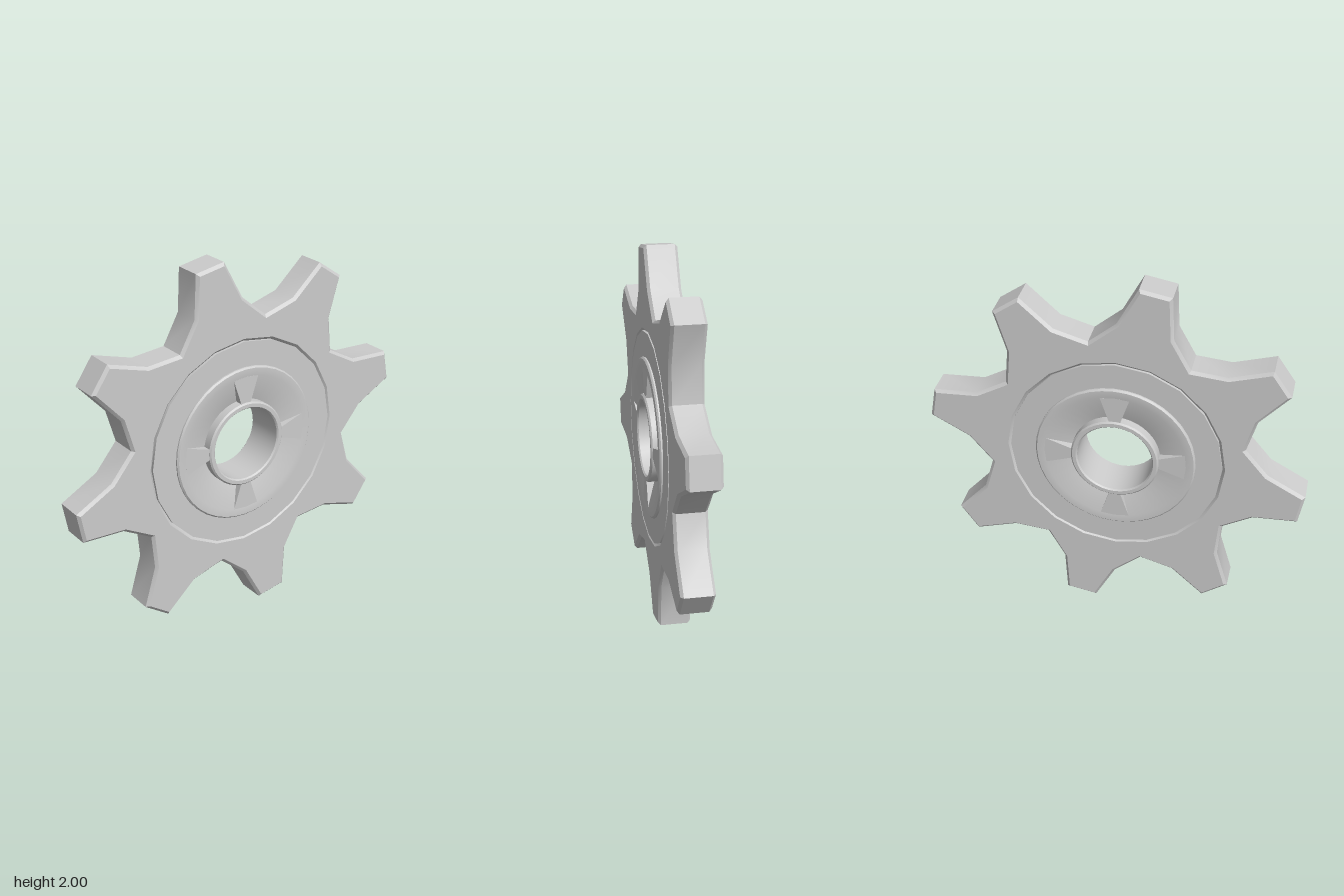
import * as THREE from 'three';
import { toCreasedNormals } from 'three/addons/utils/BufferGeometryUtils.js';

const TEETH = 8;
const HALF = 0.088;   // half thickness of the toothed plate
const BEVEL = 0.015;
const WEB_R = 0.564;  // radius of the inner web

const polar = (r, a) => new THREE.Vector2(r * Math.cos(a), r * Math.sin(a));

// Solid of revolution around z from a front half profile [r, z], inner to outer, mirrored to the back
function mirroredLathe(profile, segments) {
  const back = profile.map(([r, z]) => new THREE.Vector2(r, -z));
  const front = profile.map(([r, z]) => new THREE.Vector2(r, z)).reverse();
  const geo = new THREE.LatheGeometry([...back, ...front, back[0].clone()], segments);
  geo.rotateX(Math.PI / 2);
  return toCreasedNormals(geo, 0.45);
}

export function createModel() {
  const group = new THREE.Group();
  const wheel = new THREE.Group();
  wheel.name = 'sprocketWheel';
  wheel.position.y = 1;
  group.add(wheel);

  const material = new THREE.MeshStandardMaterial({ color: 0xcccccc });
  const add = (name, geo, parent = wheel) => {
    const mesh = new THREE.Mesh(geo, material);
    mesh.name = name;
    parent.add(mesh);
    return mesh;
  };

  // Toothed plate: one tooth and the valley beside it, repeated around the centre
  const tooth = [[-0.28, 0.97], [-0.115, 1.0], [-0.005, 0.797], [0.139, 0.677], [0.316, 0.728]];
  const outline = [];
  for (let i = 0; i < TEETH; i++) {
    for (const [x, y] of tooth) {
      outline.push(new THREE.Vector2(x, y).rotateAround(new THREE.Vector2(), -i * Math.PI * 2 / TEETH));
    }
  }
  const plate = new THREE.Shape(outline.reverse());
  const hole = [];
  for (let i = 0; i < 20; i++) hole.push(polar(WEB_R, -i * Math.PI / 10));
  plate.holes.push(new THREE.Path(hole));
  const plateGeo = new THREE.ExtrudeGeometry(plate, {
    depth: 2 * (HALF - BEVEL), bevelEnabled: true, bevelSegments: 1,
    bevelSize: BEVEL, bevelThickness: BEVEL, bevelOffset: -BEVEL,
  });
  plateGeo.translate(0, 0, -(HALF - BEVEL));
  add('toothedPlate', toCreasedNormals(plateGeo, 0.55));

  // Flat web inside the groove
  add('web', mirroredLathe([[0.4, HALF], [WEB_R, HALF]], 20));

  // Hub: bore, raised collar, sloping pocket floor and stepped rim
  add('hub', mirroredLathe([
    [0.2, 0.106], [0.207, 0.114], [0.226, 0.114], [0.234, 0.106],
    [0.234, 0.06], [0.376, 0.104], [0.418, 0.104], [0.426, 0.096], [0.426, 0.07],
  ], 40));

  // Tapered spokes dividing the pockets, on both faces
  const spoke = new THREE.Shape([
    [0.028, 0.225], [0.076, 0.369], [0, 0.377], [-0.076, 0.369], [-0.028, 0.225],
  ].map(([x, y]) => new THREE.Vector2(x, y)));
  const spokeGeo = new THREE.ExtrudeGeometry(spoke, { depth: 0.06, bevelEnabled: false });
  const spokes = new THREE.Group();
  spokes.name = 'spokes';
  wheel.add(spokes);
  for (const z of [0.0442, -0.1042]) {
    for (let i = 0; i < 4; i++) {
      const mesh = add('spoke', spokeGeo, spokes);
      mesh.position.z = z;
      mesh.rotation.z = i * Math.PI / 2;
    }
  }

  return group;
}
